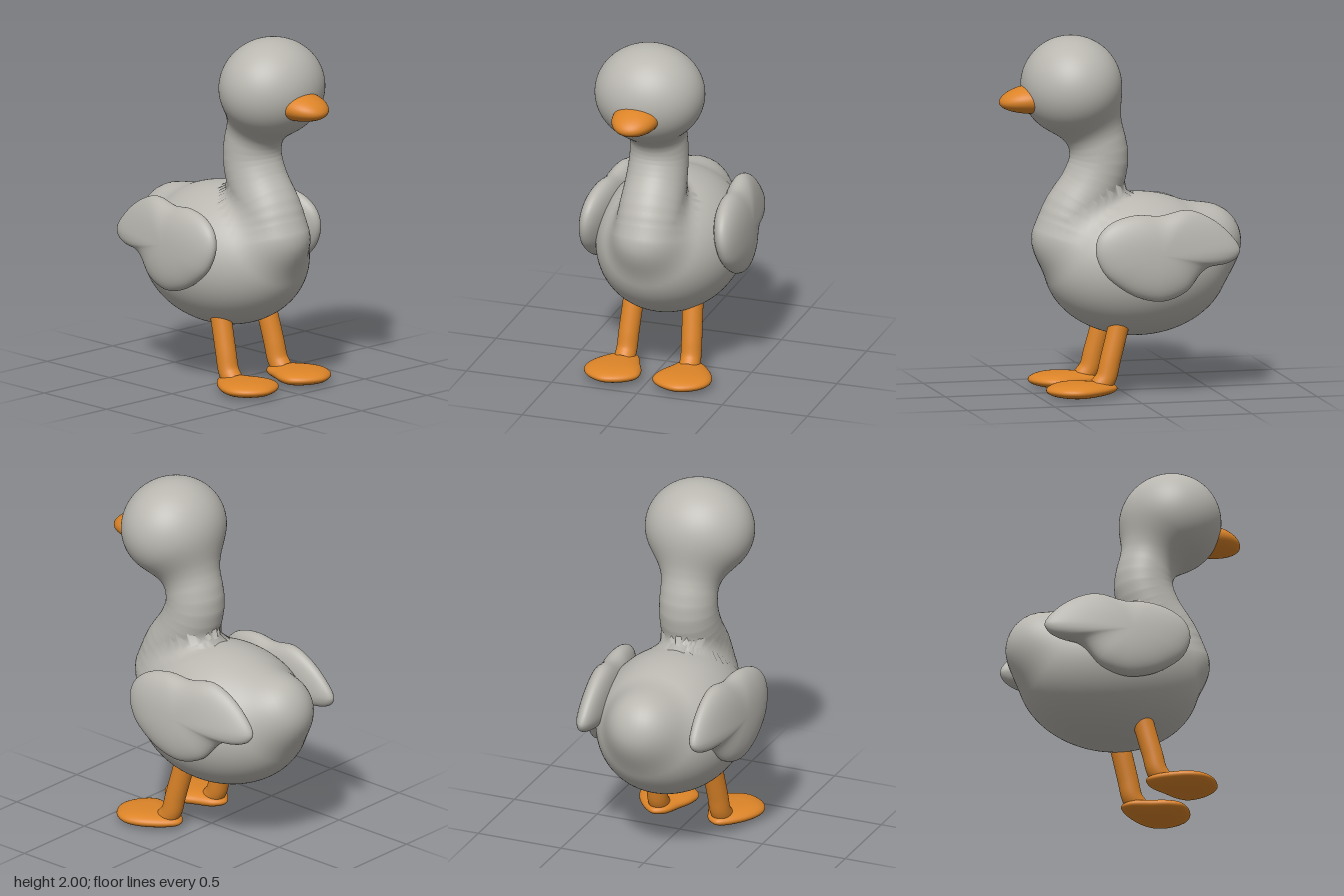
import * as THREE from 'three';
import { mergeVertices } from 'three/addons/utils/BufferGeometryUtils.js';

const V = (x, y, z) => new THREE.Vector3(x, y, z);

// Soft body shapes that are blended into one skin
const torso = { c: V(0, 0.71, -0.09), r: V(0.41, 0.4, 0.52) };
const tail = { c: V(0, 0.82, -0.47), r: V(0.215, 0.215, 0.215) };
const head = { c: V(0, 1.72, 0.28), r: V(0.31, 0.28, 0.28) };
const neckPath = new THREE.CatmullRomCurve3([
  V(0, 1.64, 0.22), V(0, 1.45, 0.145), V(0, 1.3, 0.122),
  V(0, 1.15, 0.17), V(0, 1.0, 0.26), V(0, 0.86, 0.31),
]);
const neckPoints = neckPath.getSpacedPoints(16);
const neckRadius = t => 0.157 + 0.036 * t * t;

function ellipsoid(p, { c, r }) {
  const q = p.clone().sub(c).divide(r);
  const k = q.length();
  return k * (k - 1) / Math.max(q.divide(r).length(), 1e-6);
}

function neckDistance(p) {
  let best = Infinity;
  for (let i = 0; i < 16; i++) {
    const a = neckPoints[i], b = neckPoints[i + 1];
    const dy = b.y - a.y, dz = b.z - a.z;
    const h = THREE.MathUtils.clamp(((p.y - a.y) * dy + (p.z - a.z) * dz) / (dy * dy + dz * dz), 0, 1);
    const d = Math.hypot(p.x, p.y - a.y - h * dy, p.z - a.z - h * dz);
    best = Math.min(best, d - neckRadius((i + h) / 16));
  }
  return best;
}

function blend(a, b, k) {
  const h = Math.max(k - Math.abs(a - b), 0) / k;
  return Math.min(a, b) - h * h * k / 4;
}

function skin(p) {
  const lower = blend(ellipsoid(p, torso), ellipsoid(p, tail), 0.07);
  const upper = blend(ellipsoid(p, head), neckDistance(p), 0.1);
  return blend(lower, upper, 0.08);
}

// Pushes every vertex outward from its origin until it meets the blended skin
function fitToSkin(geometry, originOf, limit) {
  const pos = geometry.attributes.position, nor = geometry.attributes.normal, e = 0.002;
  const p = V(), q = V();
  for (let i = 0; i < pos.count; i++) {
    const o = originOf(i);
    const dir = V().fromBufferAttribute(pos, i).sub(o).normalize();
    let t = 0.05;
    for (let n = 0; n < 50; n++) {
      const d = skin(p.copy(o).addScaledVector(dir, t));
      t = Math.min(t - d * 0.8, limit);
      if (Math.abs(d) < 1e-4 || t >= limit) break;
    }
    p.copy(o).addScaledVector(dir, t);
    pos.setXYZ(i, p.x, p.y, p.z);
    const slope = axis => {
      q.copy(p)[axis] += e;
      const d = skin(q);
      q[axis] -= 2 * e;
      return d - skin(q);
    };
    const n = V(slope('x'), slope('y'), slope('z')).normalize();
    nor.setXYZ(i, n.x, n.y, n.z);
  }
  return geometry;
}

function smooth(geometry) {
  geometry.deleteAttribute('uv');
  geometry.deleteAttribute('normal');
  const g = mergeVertices(geometry, 1e-5);
  g.computeVertexNormals();
  return g;
}

// Rounded cushion over a closed outline; place(a, b, w) maps it into space
function cushion(outline, centre, power, place) {
  const curve = new THREE.CatmullRomCurve3(outline.map(([a, b]) => V(a, b, 0)), true);
  const g = new THREE.SphereGeometry(1, 72, 32);
  const pos = g.attributes.position, uv = g.attributes.uv;
  for (let i = 0; i < pos.count; i++) {
    const w = pos.getY(i);
    const s = Math.pow(Math.max(0, 1 - w * w), 1 / power);
    const edge = curve.getPoint((Math.round(i % 73) % 72) / 72);
    const a = centre[0] + (edge.x - centre[0]) * s;
    const b = centre[1] + (edge.y - centre[1]) * s;
    pos.setXYZ(i, ...place(a, b, w));
  }
  return smooth(g);
}

function mirrored(geometry) {
  const g = geometry.clone().scale(-1, 1, 1);
  const ix = g.index;
  for (let i = 0; i < ix.count; i += 3) {
    const a = ix.getX(i);
    ix.setX(i, ix.getX(i + 1));
    ix.setX(i + 1, a);
  }
  g.computeVertexNormals();
  return g;
}

export function createModel() {
  const model = new THREE.Group();
  const plumage = new THREE.MeshStandardMaterial({ name: 'plumage grey', color: 0xb9b7b0 });
  const orange = new THREE.MeshStandardMaterial({ name: 'beak orange', color: 0xdc8428 });
  const add = (name, geometry, material) => {
    const mesh = new THREE.Mesh(geometry, material);
    mesh.name = name;
    model.add(mesh);
  };
  const addPair = (name, geometry, material) => {
    add('left' + name, geometry, material);
    add('right' + name, mirrored(geometry), material);
  };

  // Torso with tail bump, head and neck share one blended skin
  const ball = ({ c }) => new THREE.SphereGeometry(0.3, 96, 72).translate(c.x, c.y, c.z);
  add('bodyAndTail', fitToSkin(ball(torso), () => torso.c, 0.64), plumage);
  add('head', fitToSkin(ball(head), () => head.c, 0.33), plumage);
  const tube = new THREE.TubeGeometry(neckPath, 64, 0.1, 64);
  const along = tube.attributes.uv;
  add('neck', fitToSkin(tube, i => neckPath.getPointAt(along.getX(i)), 0.3), plumage);

  // Beak: flattened egg drooping slightly toward the tip
  const beak = new THREE.SphereGeometry(1, 48, 32);
  const bp = beak.attributes.position;
  for (let i = 0; i < bp.count; i++) {
    const z = bp.getZ(i), f = Math.max(0, z);
    bp.setXYZ(i, bp.getX(i) * 0.13, 1.652 + bp.getY(i) * 0.08 * (1 - 0.15 * f) - 0.015 * f * f, 0.52 + z * 0.17);
  }
  add('beak', smooth(beak), orange);

  // Wings: outline in (z, y), from tip over the top to the front and back below
  const wing = cushion([
    [-0.6, 0.82], [-0.54, 0.91], [-0.43, 1.0], [-0.3, 1.05], [-0.14, 1.025], [0, 1.035],
    [0.14, 1.0], [0.22, 0.93], [0.24, 0.84], [0.2, 0.73], [0.12, 0.65], [0, 0.58],
    [-0.14, 0.552], [-0.28, 0.6], [-0.37, 0.7], [-0.42, 0.73], [-0.52, 0.745], [-0.58, 0.775],
  ], [-0.12, 0.82], 2.3, (z, y, w) => [0.387 + 0.08 * z - 0.1 * (y - 0.8) + 0.092 * w, y, z]);
  addPair('Wing', wing, plumage);

  // Legs
  const legPath = new THREE.CatmullRomCurve3([
    V(0.172, 0.47, 0.03), V(0.175, 0.36, 0.06), V(0.184, 0.2, 0.103), V(0.188, 0.1, 0.13), V(0.19, 0.055, 0.165),
  ]);
  addPair('Leg', smooth(new THREE.TubeGeometry(legPath, 32, 0.058, 32)), orange);

  // Webbed feet: outline in (x, z), starting at the heel
  const foot = cushion([
    [0.19, 0.065], [0.13, 0.1], [0.085, 0.2], [0.048, 0.29], [0.045, 0.37], [0.11, 0.44],
    [0.22, 0.472], [0.325, 0.415], [0.366, 0.33], [0.345, 0.23], [0.25, 0.1],
  ], [0.2, 0.28], 2.8, (x, z, w) => [x, 0.043 + 0.043 * w, z]);
  addPair('Foot', foot, orange);

  return model;
}
